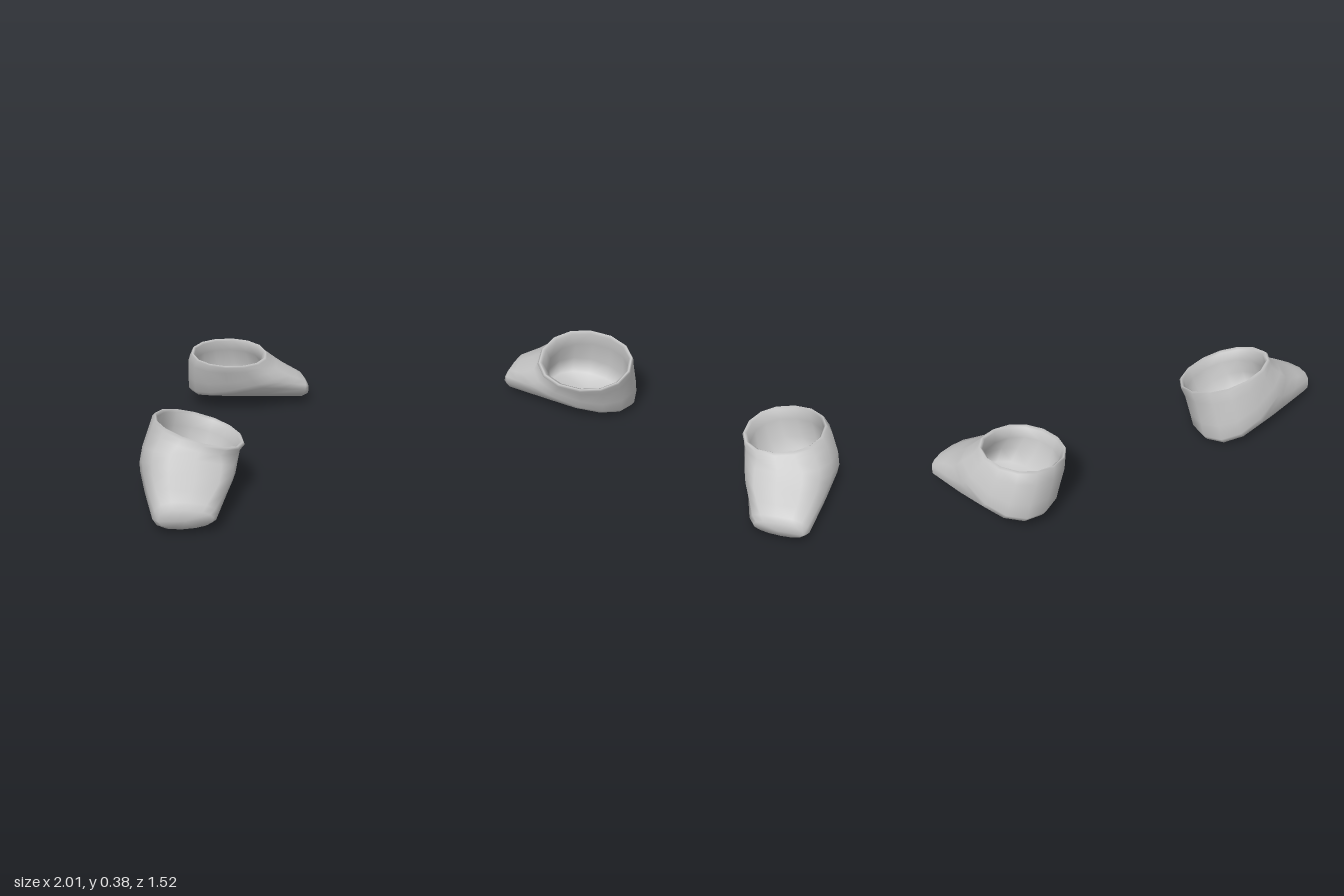
import * as THREE from 'three';

const SIDES = 14;
const LEAN = 0.26; // sideways slant of the walls, measured from the collar height

// Cross-sections: [front s, front y, back s, back y, half width, sideways shift, isCollar]
// They run from the inner floor up to the collar, then down outside and along to the toe.
const RINGS = [
  [0.26, 0.1, -0.17, 0.05, 0.15, 0, 0],
  [0.26, 0.18, -0.21, 0.11, 0.19, 0, 0],
  [0.235, 0.265, -0.225, 0.235, 0.195, 0, 1],
  [0.25, 0.325, -0.238, 0.295, 0.2, 0, 1],
  [0.267, 0.337, -0.253, 0.306, 0.214, 0, 1],
  [0.28, 0.325, -0.26, 0.294, 0.224, 0, 1],
  [0.28, 0.297, -0.252, 0.24, 0.22, -0.01, 0],
  [0.312, 0.268, -0.246, 0.12, 0.226, -0.018, 0],
  [0.36, 0.238, -0.242, 0.038, 0.226, -0.018, 0],
  [0.412, 0.207, -0.222, 0.012, 0.216, -0.018, 0],
  [0.46, 0.177, 0.08, 0.005, 0.186, -0.025, 0],
  [0.508, 0.147, 0.47, 0.003, 0.147, -0.03, 0],
  [0.528, 0.118, 0.512, 0.025, 0.124, -0.03, 0],
];

const power = (v, e) => Math.sign(v) * Math.pow(Math.abs(v), e);

function shoeGeometry({ origin, axis, mirror, collar, length, roll, pitch, lift, tall }) {
  const [ax, az] = axis;
  const pos = [], index = [];

  // Local (along foot, sideways, height) to world, with the lean of the shoe
  const add = (s, w, y) => {
    const along = s * length;
    const side = (w + LEAN * (y - 0.31)) * mirror;
    const h = y * tall + lift + pitch * s + roll * w * (y / 0.32);
    pos.push(origin[0] + along * ax + side * az, Math.max(h, 0), origin[1] + along * az - side * ax);
  };
  const face = (a, b, c) => (mirror > 0 ? index.push(a, b, c) : index.push(a, c, b));

  RINGS.forEach(([fs, fy, ks, ky, half, shift, isCollar], i) => {
    const k = isCollar ? collar : 1;
    for (let j = 0; j < SIDES; j++) {
      const t = (j / SIDES) * Math.PI * 2;
      // The instep is fuller than the heel
      const e = i > 6 && Math.cos(t) > 0 ? 0.76 : 0.94;
      const c = power(Math.cos(t), e), n = power(Math.sin(t), e);
      add(((fs + ks) / 2 + ((fs - ks) / 2) * c) * k,
        shift + half * n * (isCollar ? (1 + collar) / 2 : 1),
        (fy + ky) / 2 + ((fy - ky) / 2) * c);
    }
  });
  // Skin between neighbouring sections
  for (let i = 0; i < RINGS.length - 1; i++) {
    for (let j = 0; j < SIDES; j++) {
      const a = i * SIDES + j, b = i * SIDES + ((j + 1) % SIDES);
      face(a, a + SIDES, b);
      face(b, a + SIDES, b + SIDES);
    }
  }
  // Inner floor and toe cap
  const floor = pos.length / 3;
  add(0.03, 0, 0.06);
  add(0.53, -0.03, 0.07);
  const last = (RINGS.length - 1) * SIDES;
  for (let j = 0; j < SIDES; j++) {
    const n = (j + 1) % SIDES;
    face(floor, j, n);
    face(floor + 1, last + n, last + j);
  }

  const g = new THREE.BufferGeometry();
  g.setAttribute('position', new THREE.Float32BufferAttribute(pos, 3));
  g.setIndex(index);
  g.computeVertexNormals();
  return g;
}

export function createModel() {
  const group = new THREE.Group();
  group.name = 'shoePair';
  const grey = new THREE.MeshStandardMaterial({ color: 0xc6c6c6 });
  grey.name = 'grey';
  grey.side = THREE.DoubleSide;

  const shoes = {
    rightShoe: {
      origin: [-0.495, 0.33], axis: [-0.633, 0.774], mirror: 1,
      collar: 1, length: 1.02, roll: -0.29, pitch: 0, lift: 0, tall: 1,
    },
    leftShoe: {
      origin: [0.49, -0.47], axis: [0.815, 0.579], mirror: -1,
      collar: 0.9, length: 0.94, roll: -0.14, pitch: -0.07, lift: 0.047, tall: 0.9,
    },
  };
  for (const [name, spec] of Object.entries(shoes)) {
    const mesh = new THREE.Mesh(shoeGeometry(spec), grey);
    mesh.name = name;
    group.add(mesh);
  }
  return group;
}
